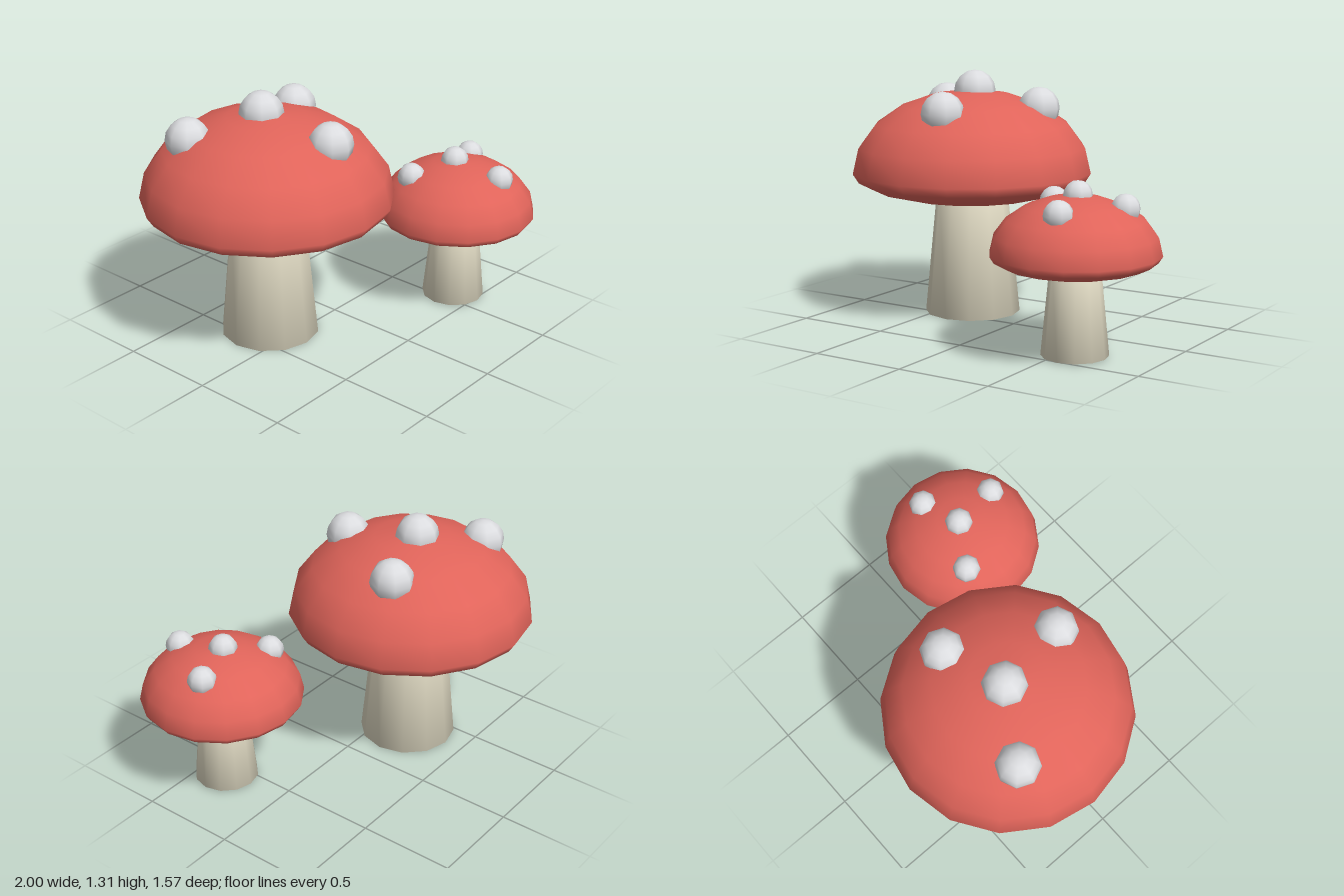
import * as THREE from 'three';

const mat = (name, color) => {
  const m = new THREE.MeshStandardMaterial({ color });
  m.name = name;
  return m;
};

export function createModel() {
  const capRed = mat('cap red', 0xe0645a);
  const stemCream = mat('stem cream', 0xdfd9c2);
  const spotGrey = mat('spot pale grey', 0xdcdde0);

  // Cap profile: tall dome above the rim, shallow dome below it
  const capPoints = [];
  for (let i = 0; i <= 10; i++) {
    const a = -Math.PI / 2 + (i * Math.PI) / 10;
    const height = a < 0 ? 0.16 : 0.44;
    capPoints.push(new THREE.Vector2(Math.max(0, 0.645 * Math.cos(a)), 0.77 + height * Math.sin(a)));
  }
  const capGeo = new THREE.LatheGeometry(capPoints, 16);

  // Closed tapering stem, softly shaded round its ends
  const stemPoints = [[0, 0], [0.257, 0], [0.194, 0.64], [0, 0.64]].map(([r, y]) => new THREE.Vector2(r, y));
  const stemGeo = new THREE.LatheGeometry(stemPoints, 12);

  const spotGeo = new THREE.SphereGeometry(0.114, 8, 8);
  const spots = [
    [0, 1.2, -0.03],
    [-0.32, 1.104, -0.225],
    [0.345, 1.117, -0.125],
    [0.067, 1.115, 0.365],
  ];

  function mushroom(name, scale, x, y, z) {
    const g = new THREE.Group();
    g.name = name;
    const add = (part, geo, material) => {
      const mesh = new THREE.Mesh(geo, material);
      mesh.name = part;
      g.add(mesh);
      return mesh;
    };
    add('stem', stemGeo, stemCream);
    add('cap', capGeo, capRed);
    spots.forEach((p, i) => add('spot' + (i + 1), spotGeo, spotGrey).position.set(...p));
    g.scale.setScalar(scale);
    g.position.set(x, y, z);
    return g;
  }

  const model = new THREE.Group();
  model.name = 'mushrooms';
  model.add(mushroom('largeMushroom', 1, -0.357, 0, -0.142));
  model.add(mushroom('smallMushroom', 0.65, 0.58, 0.005, 0.36));
  return model;
}
